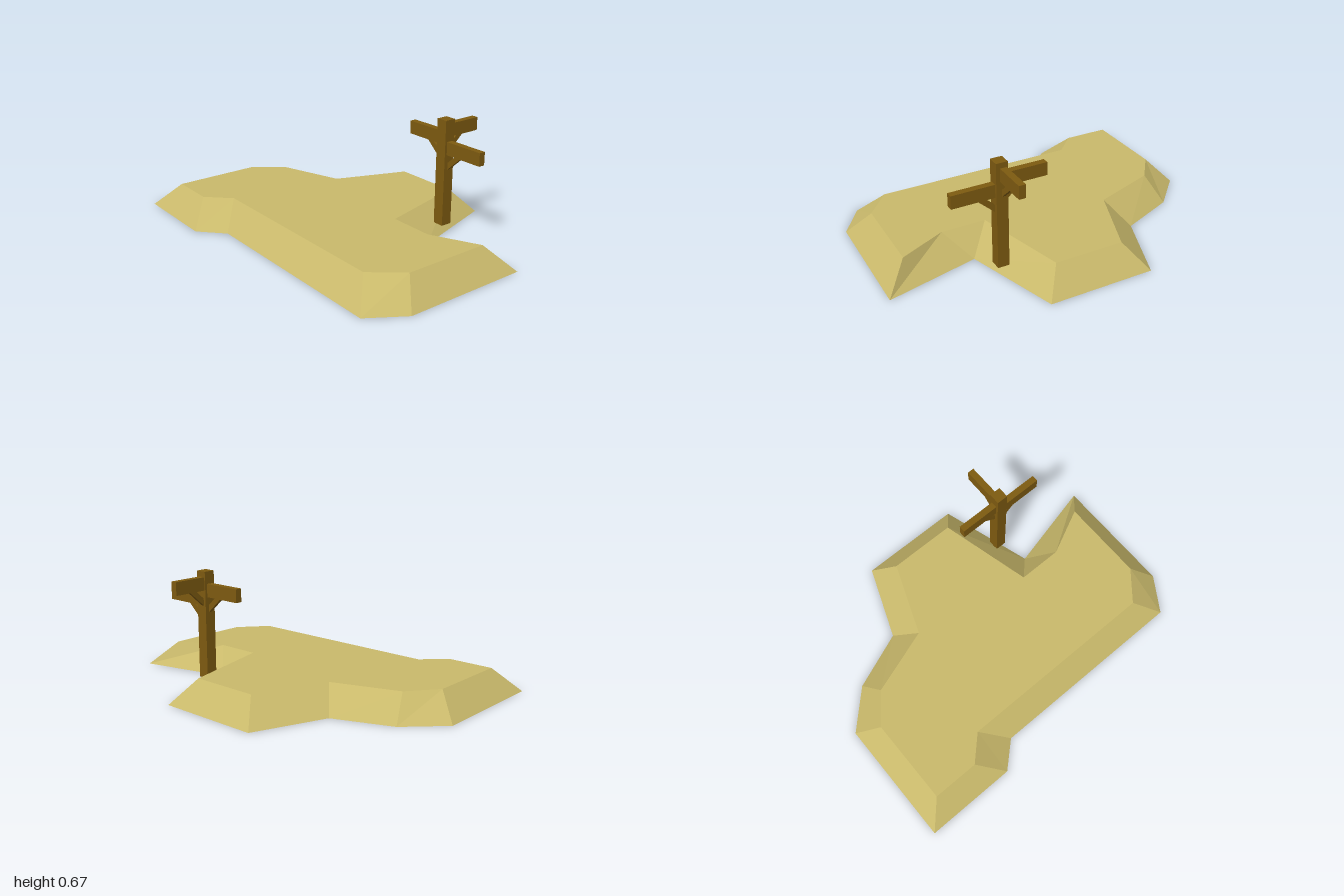
import * as THREE from 'three';

const sand = new THREE.MeshStandardMaterial({ color: 0xc9b96b, flatShading: true, side: THREE.DoubleSide });
sand.name = 'sand';
const wood = new THREE.MeshStandardMaterial({ color: 0x7d5a10, flatShading: true });
wood.name = 'wood';

const TOP = 0.14;

// Each row: foot x, z on the ground, then rim x, z on the plateau
const outline = [
  [-0.74, -1.00, -0.61, -0.87],
  [-0.01, -1.00, -0.11, -0.87],
  [0.19, -0.80, 0.06, -0.74],
  [0.32, -0.47, 0.19, -0.36],
  [0.74, -0.31, 0.61, -0.20],
  [0.74, 0.30, 0.61, 0.20],
  [0.19, 0.47, 0.06, 0.34],
  [0.19, 0.47, 0.06, 0.60],
  [0.32, 1.00, 0.19, 0.87],
  [-0.41, 1.00, -0.31, 0.87],
  [-0.61, 0.87, -0.48, 0.73],
  [-0.61, -0.33, -0.48, -0.47],
  [-0.74, -0.47, -0.61, -0.60],
];

function mesh(name, geometry, material) {
  const m = new THREE.Mesh(geometry, material);
  m.name = name;
  return m;
}

// Sloping banks between the foot and the rim, open underneath
function bankGeometry() {
  const pos = [];
  outline.forEach((p, i) => {
    const q = outline[(i + 1) % outline.length];
    const a = [p[0], 0, p[1]], b = [q[0], 0, q[1]];
    const c = [q[2], TOP, q[3]], d = [p[2], TOP, p[3]];
    if (p[0] !== q[0] || p[1] !== q[1]) pos.push(...a, ...d, ...b);
    pos.push(...b, ...d, ...c);
  });
  const g = new THREE.BufferGeometry();
  g.setAttribute('position', new THREE.Float32BufferAttribute(pos, 3));
  g.computeVertexNormals();
  return g;
}

// Horizontal beam with a diagonal brace, pointing along +x from the post centre
function makeArm(name, length, y, angle, offset) {
  const arm = new THREE.Group();
  arm.name = name;
  const start = 0.02;
  const beam = mesh('beam', new THREE.BoxGeometry(length - start, 0.075, 0.038), wood);
  beam.position.x = (length + start) / 2;
  const side = new THREE.Shape([
    [0.03, -0.127], [0.13, -0.037], [0.085, -0.037], [0.03, -0.087],
  ].map(([x, h]) => new THREE.Vector2(x, h)));
  const brace = mesh('brace', new THREE.ExtrudeGeometry(side, { depth: 0.02, bevelEnabled: false }), wood);
  brace.position.z = -0.01;
  arm.add(beam, brace);
  arm.position.set(offset[0], y, offset[1]);
  arm.rotation.y = angle;
  return arm;
}

export function createModel() {
  const model = new THREE.Group();
  model.name = 'sandbankWithSignpost';

  // Raised ground
  const plateau = new THREE.ShapeGeometry(new THREE.Shape(outline.map(p => new THREE.Vector2(p[2], -p[3]))));
  plateau.rotateX(-Math.PI / 2).translate(0, TOP, 0);
  model.add(mesh('plateau', plateau, sand), mesh('banks', bankGeometry(), sand));

  // Signpost with three arms
  const sign = new THREE.Group();
  sign.name = 'signpost';
  sign.position.set(0.368, 0, 0.395);
  const post = mesh('post', new THREE.BoxGeometry(0.066, 0.615, 0.066), wood);
  post.position.y = 0.3625;
  sign.add(
    post,
    makeArm('leftArm', 0.233, 0.602, 0, [0, -0.008]),
    makeArm('frontArm', 0.275, 0.51, -Math.PI / 2, [0, 0]),
    makeArm('backArm', 0.265, 0.563, Math.PI / 2, [0, 0]),
  );
  model.add(sign);
  return model;
}
